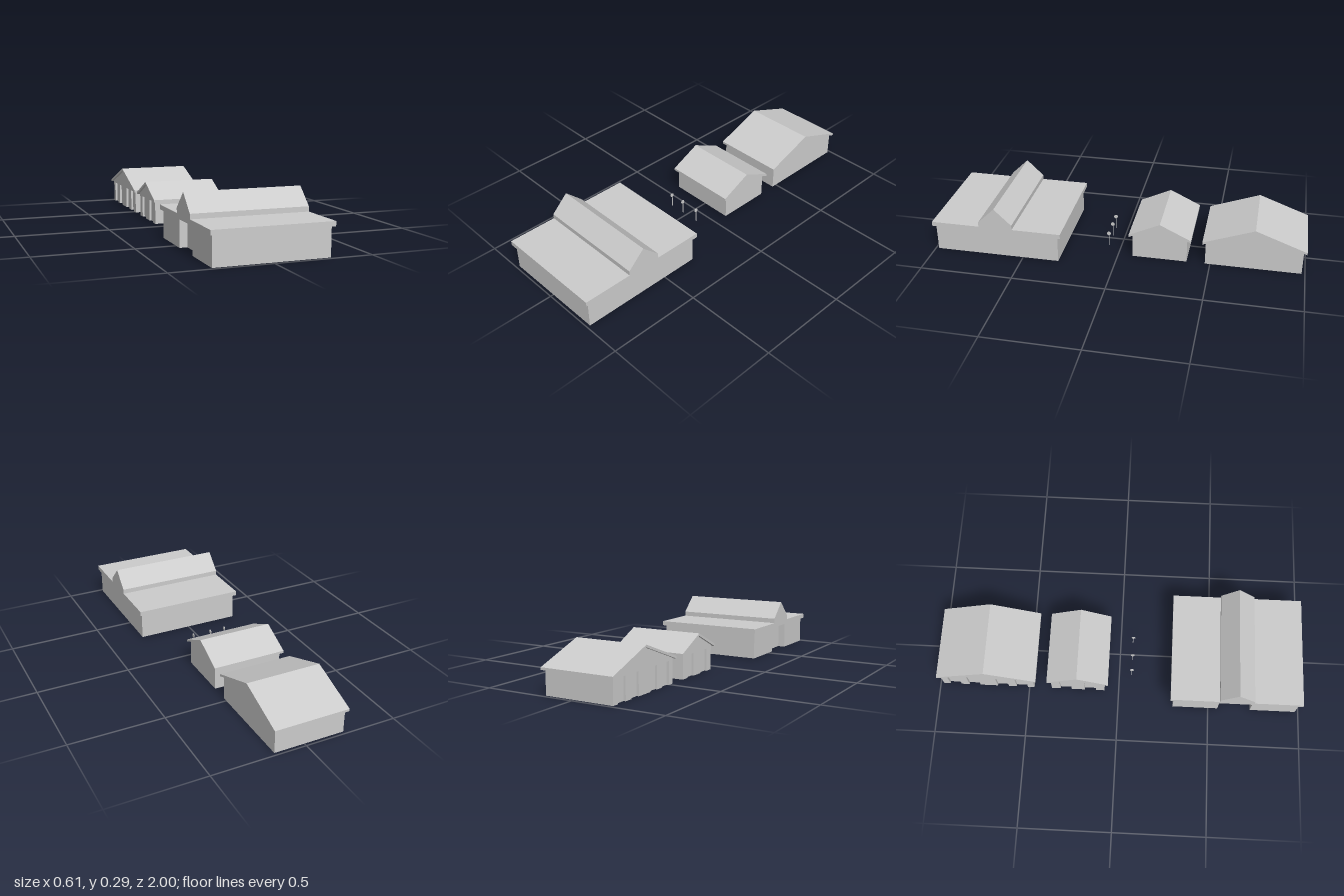
import * as THREE from 'three';

const plaster = new THREE.MeshStandardMaterial({ color: 0xcccccc });
plaster.name = 'light grey';

function add(parent, name, geometry) {
  const mesh = new THREE.Mesh(geometry, plaster);
  mesh.name = name;
  parent.add(mesh);
  return mesh;
}

// Box given by its limits on each axis
function box(x0, x1, y0, y1, z0, z1) {
  return new THREE.BoxGeometry(x1 - x0, y1 - y0, z1 - z0)
    .translate((x0 + x1) / 2, (y0 + y1) / 2, (z0 + z1) / 2);
}

// Profile of [z, y] points extruded along x from x0 to x1
function profile(points, x0, x1) {
  const shape = new THREE.Shape(points.map(([z, y]) => new THREE.Vector2(z, y)));
  return new THREE.ExtrudeGeometry(shape, { depth: x1 - x0, bevelEnabled: false })
    .rotateY(-Math.PI / 2).translate(x1, 0, 0);
}

// Gabled building with recessed doorways in its -x wall
function gabledBuilding(name, { z, halfWall, halfRoof, ridge, eave, doors }) {
  const group = new THREE.Group();
  group.name = name;
  const x0 = -0.2175, x1 = 0.1625, over = 0.0125;
  const thick = 0.013, doorDepth = 0.012, doorHalf = 0.031, doorHeight = 0.12;
  const top = ridge - thick;
  const wallTop = top - (ridge - eave) * halfWall / halfRoof;
  const gable = [[z + halfWall, 0], [z + halfWall, wallTop], [z, top], [z - halfWall, wallTop], [z - halfWall, 0]];

  add(group, 'walls', profile(gable, x0 + doorDepth, x1));

  // Outer wall layer, its lower edge cut by the doorways
  const cut = [...gable];
  for (const d of doors) {
    const a = z + d - doorHalf, b = z + d + doorHalf;
    cut.push([a, 0], [a, doorHeight], [b, doorHeight], [b, 0]);
  }
  add(group, 'doorwayWall', profile(cut, x0, x0 + doorDepth));

  add(group, 'roof', profile([
    [z - halfRoof, eave - thick], [z, ridge - thick], [z + halfRoof, eave - thick],
    [z + halfRoof, eave], [z, ridge], [z - halfRoof, eave],
  ], x0 - over, x1 + over));
  return group;
}

// Large flat-roofed hall with a raised ridge and an entrance recess
function hall() {
  const group = new THREE.Group();
  group.name = 'hall';
  const w = 0.292, h = 0.147, recess = 0.04;
  add(group, 'hallWalls', box(-w + recess, w, 0, h, 0.303, 0.983));
  add(group, 'entranceWallBack', box(-w, -w + recess, 0, h, 0.303, 0.553));
  add(group, 'entranceWallFront', box(-w, -w + recess, 0, h, 0.733, 0.983));
  add(group, 'flatRoof', box(-0.305, 0.305, h, 0.172, 0.285, 1));
  add(group, 'raisedRidge', profile(
    [[0.55, 0.172], [0.735, 0.172], [0.735, 0.198], [0.6425, 0.287], [0.55, 0.198]], -0.305, 0.305));
  return group;
}

// Slim post with a small thin disc on top
function post(x) {
  const group = new THREE.Group();
  group.name = 'post';
  add(group, 'pole', box(-0.0015, 0.0015, 0, 0.07, -0.0015, 0.0015));
  add(group, 'postHead', new THREE.CylinderGeometry(0.011, 0.011, 0.004, 8)
    .rotateZ(Math.PI / 2).translate(0, 0.074, 0.002));
  group.position.set(x, 0, 0.068);
  return group;
}

export function createModel() {
  const model = new THREE.Group();
  model.name = 'buildings';
  model.add(hall());
  model.add(gabledBuilding('smallBuilding', {
    z: -0.2265, halfWall: 0.1475, halfRoof: 0.168, ridge: 0.217, eave: 0.137, doors: [-0.068, 0.068],
  }));
  model.add(gabledBuilding('backBuilding', {
    z: -0.7275, halfWall: 0.255, halfRoof: 0.2725, ridge: 0.237, eave: 0.137,
    doors: [-0.187, -0.08, 0.08, 0.187],
  }));
  for (const x of [-0.115, -0.028, 0.077]) model.add(post(x));
  return model;
}
